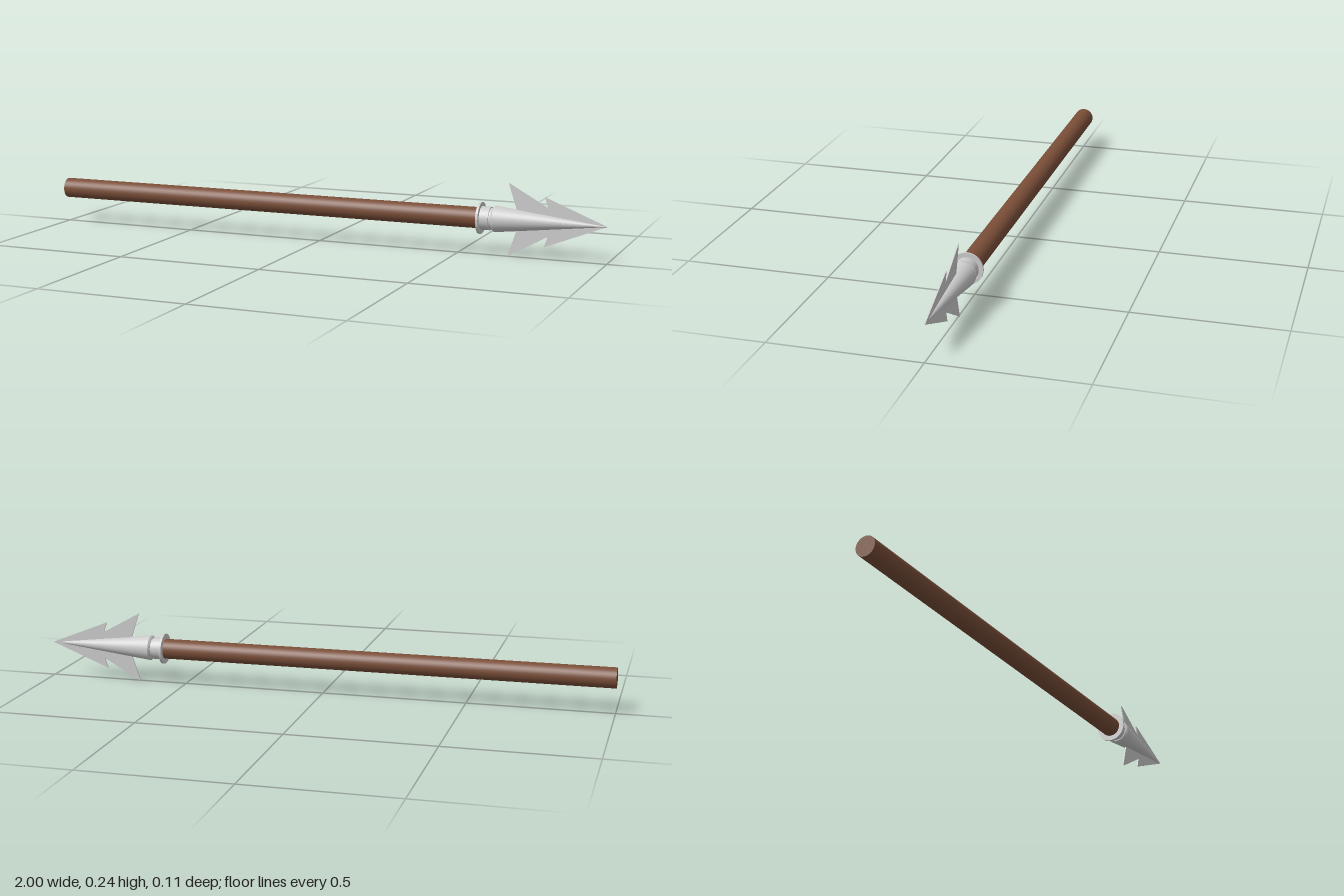
import * as THREE from 'three';

const AXIS_Y = 0.122;

export function createModel() {
  const group = new THREE.Group();
  const wood = new THREE.MeshStandardMaterial({ color: 0x7a4e38 });
  const metal = new THREE.MeshStandardMaterial({ color: 0xcccccc });

  // Round section along x, from x0 (radius r0) to x1 (radius r1)
  function round(name, x0, x1, r0, r1, material) {
    const geometry = new THREE.CylinderGeometry(r1, r0, x1 - x0, 32);
    geometry.rotateZ(-Math.PI / 2);
    const mesh = new THREE.Mesh(geometry, material);
    mesh.name = name;
    mesh.position.set((x0 + x1) / 2, AXIS_Y, 0);
    group.add(mesh);
  }

  round('shaft', -1, 0.58, 0.035, 0.035, wood);
  round('flange', 0.573, 0.581, 0.053, 0.053, metal);
  round('collar', 0.581, 0.612, 0.039, 0.039, metal);
  round('neck', 0.612, 0.624, 0.035, 0.035, metal);
  round('coneLip', 0.62, 0.626, 0.038, 0.044, metal);
  round('cone', 0.626, 1, 0.044, 0, metal);

  // Flat barbed blades above and below the cone
  const outline = [[0.69, 0], [0.7, 0.03], [0.67, 0.122], [0.803, 0.048], [0.792, 0.083], [0.998, 0]];
  const thickness = 0.004;
  for (const [name, side] of [['upperBarbs', 1], ['lowerBarbs', -1]]) {
    const shape = new THREE.Shape(outline.map(([x, y]) => new THREE.Vector2(x, y * side)));
    const geometry = new THREE.ExtrudeGeometry(shape, { depth: thickness, bevelEnabled: false });
    const blade = new THREE.Mesh(geometry, metal);
    blade.name = name;
    blade.position.set(0, AXIS_Y, -0.002 - thickness / 2);
    group.add(blade);
  }
  return group;
}
